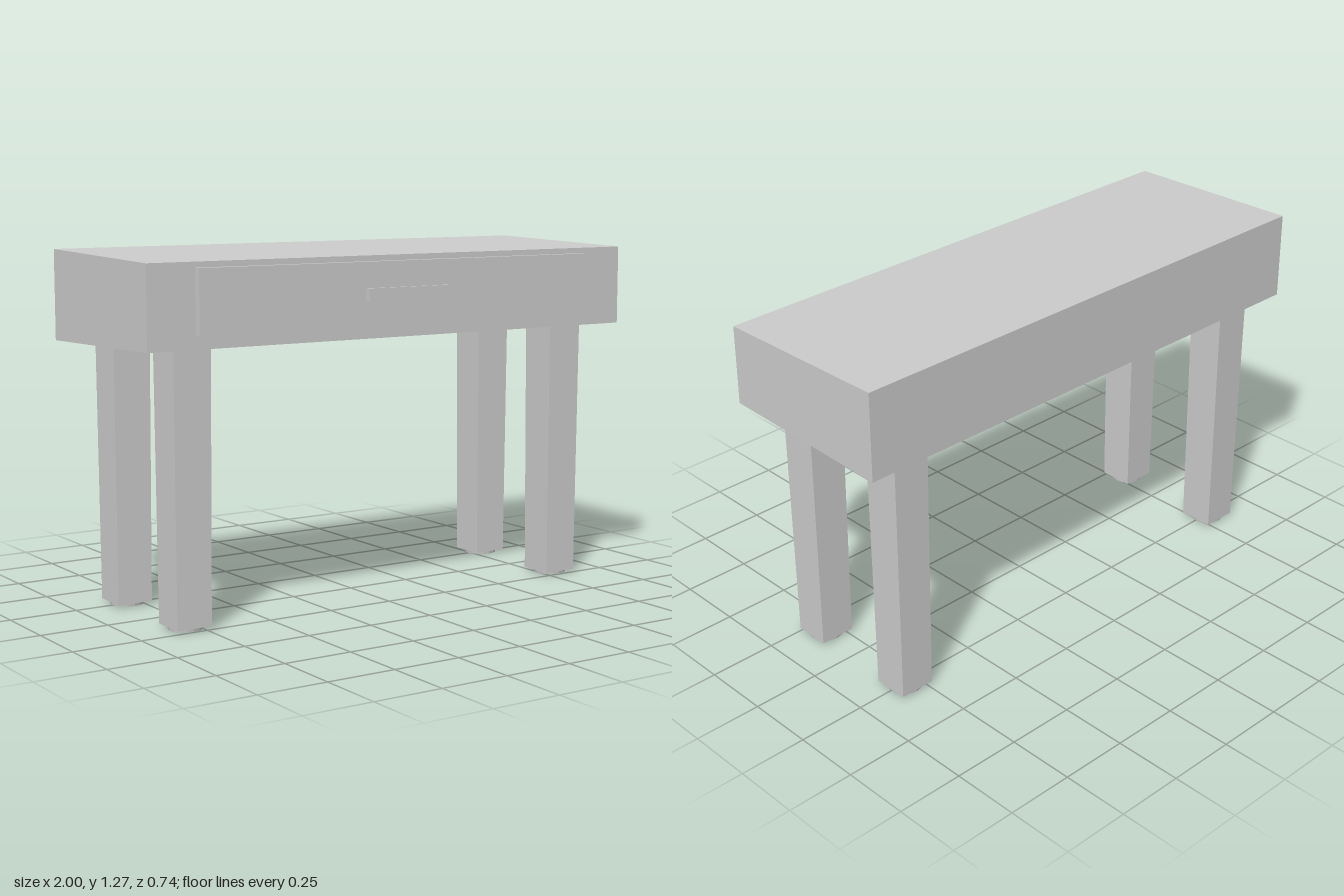
import * as THREE from 'three';

const material = new THREE.MeshStandardMaterial({ color: 0xcccccc, flatShading: true });

function add(parent, name, geometry, x = 0, y = 0, z = 0) {
  const mesh = new THREE.Mesh(geometry, material);
  mesh.name = name;
  mesh.position.set(x, y, z);
  parent.add(mesh);
  return mesh;
}

// Box given by its lower and upper corners
function box(parent, name, [x0, y0, z0], [x1, y1, z1]) {
  return add(parent, name, new THREE.BoxGeometry(x1 - x0, y1 - y0, z1 - z0),
    (x0 + x1) / 2, (y0 + y1) / 2, (z0 + z1) / 2);
}

export function createModel() {
  const table = new THREE.Group();
  table.name = 'consoleTable';

  // Body: a side profile, a little taller at the back, extruded across the width
  const profile = new THREE.Shape([
    new THREE.Vector2(-0.322, 0.965), new THREE.Vector2(0.371, 0.95),
    new THREE.Vector2(0.371, 1.27), new THREE.Vector2(-0.322, 1.253),
  ]);
  const body = new THREE.ExtrudeGeometry(profile, { depth: 2, bevelEnabled: false });
  body.rotateY(Math.PI / 2).translate(-1, 0, 0);
  add(table, 'body', body);

  // Drawer front with a bracket pull
  const drawer = new THREE.Group();
  drawer.name = 'drawer';
  table.add(drawer);
  box(drawer, 'drawerFront', [-0.82, 1.01, 0.315], [0.82, 1.233, 0.346]);
  box(drawer, 'handleBar', [-0.168, 1.098, 0.36], [0.168, 1.143, 0.371]);
  for (const s of [-1, 1]) {
    box(drawer, 'handlePost', [s * 0.162 - 0.006, 1.098, 0.345], [s * 0.162 + 0.006, 1.143, 0.361]);
  }

  // Square legs with a slight taper, each on a round foot pad
  for (const x of [-0.798, 0.8]) {
    for (const [name, z] of [['frontLeg', 0.183], ['backLeg', -0.254]]) {
      const leg = new THREE.Group();
      leg.name = name;
      leg.position.set(x, 0, z);
      table.add(leg);
      const post = new THREE.CylinderGeometry(0.071 * Math.SQRT2, 0.066 * Math.SQRT2, 0.955, 4);
      post.rotateY(Math.PI / 4);
      add(leg, 'post', post, 0, 0.4895, 0);
      add(leg, 'footPad', new THREE.CylinderGeometry(0.063, 0.061, 0.014, 16), 0, 0.007, 0);
    }
  }
  return table;
}
